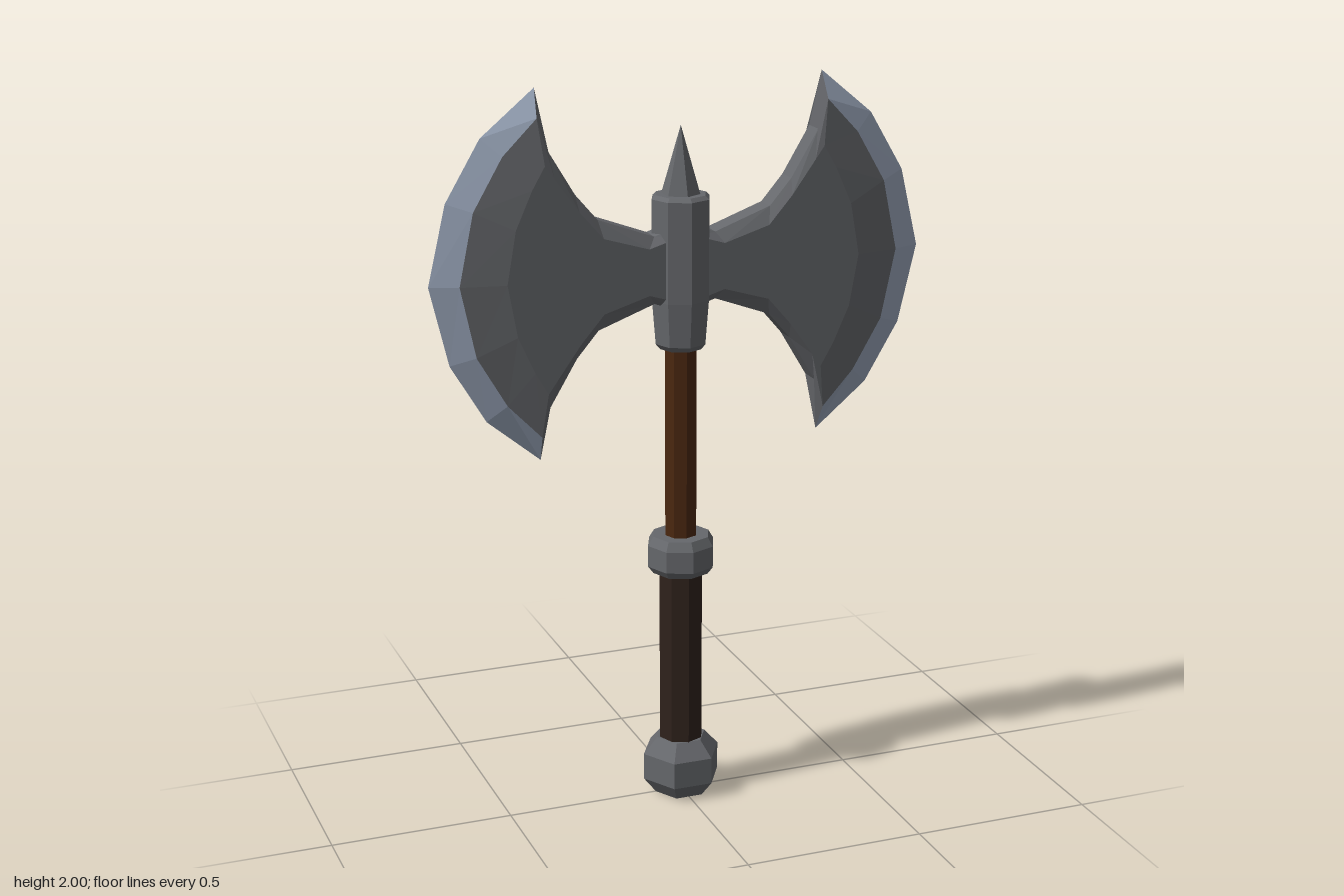
import * as THREE from 'three';

const material = (color) =>
  new THREE.MeshStandardMaterial({ color, flatShading: true });
const iron = material(0x66686c);
const steel = material(0x9aa6ba);
const wood = material(0x4a2710);
const leather = material(0x2f221c);

// Faceted turned part from [radius, y] pairs, bottom to top
function turned(name, profile, sides, mat, turn = 0) {
  const points = profile.map(([r, y]) => new THREE.Vector2(r, y));
  const mesh = new THREE.Mesh(new THREE.LatheGeometry(points, sides, turn), mat);
  mesh.name = name;
  return mesh;
}

// Upper half of the blade, hub to middle: rim, bevel line and raised face, each [x, y, z]
const HALF = [
  [[0.03, 0.11, 0.03], [0.03, 0.085, 0.05]],
  [[0.085, 0.09, 0.03], [0.105, 0.062, 0.05]],
  [[0.24, 0.147, 0.03], [0.23, 0.1, 0.05]],
  [[0.3, 0.217, 0.03], [0.295, 0.175, 0.05]],
  [[0.375, 0.342, 0.03], [0.36, 0.265, 0.05]],
  [[0.395, 0.492, 0], [0.4, 0.42, 0.035], [0.385, 0.3, 0.05]],
  [[0.54, 0.372, 0], [0.49, 0.327, 0.028], [0.42, 0.24, 0.05]],
  [[0.635, 0.212, 0], [0.57, 0.19, 0.028], [0.465, 0.14, 0.05]],
  [[0.685, 0, 0], [0.61, 0, 0.028], [0.49, 0, 0.05]],
];

function toMesh(name, positions, mat) {
  const geometry = new THREE.BufferGeometry();
  geometry.setAttribute('position', new THREE.Float32BufferAttribute(positions, 3));
  geometry.computeVertexNormals();
  const mesh = new THREE.Mesh(geometry, mat);
  mesh.name = name;
  return mesh;
}

function blade(name) {
  const flip = (row) => row.map(([x, y, z]) => [x, -y, z]);
  const rows = [...HALF.slice(0, -1).map(flip), ...HALF.slice().reverse()];
  const rim = rows.map((r) => r[0]);
  const bevel = rows.map((r) => r[1]);
  const face = rows.map((r) => r[2] ?? r[1]);
  const body = [];
  const edge = [];

  const back = ([x, y, z]) => [x, y, -z];
  const tri = (out, a, b, c) => out.push(...a, ...b, ...c);
  const bothSides = (out, a, b, c) => {
    tri(out, a, b, c);
    tri(out, back(a), back(c), back(b));
  };

  for (let i = 0; i < rows.length - 1; i++) {
    const j = i + 1;
    const cutting = rows[i].length === 3 && rows[j].length === 3;
    // sharpened edge, or chamfer on the inner curves
    const out = cutting ? edge : body;
    bothSides(out, rim[i], rim[j], bevel[j]);
    bothSides(out, rim[i], bevel[j], bevel[i]);
    // slope up to the flat of the blade
    if (rows[j].length === 3) bothSides(body, bevel[i], bevel[j], face[j]);
    if (rows[i].length === 3) bothSides(body, bevel[i], face[j], face[i]);
    // flat strip between the two chamfers
    if (!cutting) {
      tri(body, rim[i], back(rim[i]), back(rim[j]));
      tri(body, rim[i], back(rim[j]), rim[j]);
    }
  }

  // flat of the blade
  const contour = face.map(([x, y]) => new THREE.Vector2(x, y));
  for (const [a, b, c] of THREE.ShapeUtils.triangulateShape(contour, [])) {
    const ccw = THREE.ShapeUtils.area([contour[a], contour[b], contour[c]]) > 0;
    bothSides(body, face[a], face[ccw ? b : c], face[ccw ? c : b]);
  }

  const group = new THREE.Group();
  group.name = name;
  group.add(toMesh('bladeBody', body, iron), toMesh('cuttingEdge', edge, steel));
  group.position.y = 1.508;
  return group;
}

export function createModel() {
  const axe = new THREE.Group();
  axe.name = 'doubleAxe';

  // Handle
  axe.add(
    turned('pommel', [[0, 0], [0.075, 0], [0.11, 0.045], [0.11, 0.12], [0.07, 0.165], [0, 0.165]], 6, iron, Math.PI / 2),
    turned('grip', [[0.062, 0.15], [0.062, 0.67]], 8, leather),
    turned('collar', [[0, 0.655], [0.08, 0.655], [0.095, 0.675], [0.095, 0.735], [0.08, 0.76], [0, 0.76]], 8, iron),
    turned('shaft', [[0.045, 0.74], [0.045, 1.31]], 8, wood),
  );

  // Head
  axe.add(
    turned('hub', [[0, 1.285], [0.058, 1.285], [0.071, 1.3], [0.081, 1.42], [0.081, 1.69], [0.07, 1.7], [0, 1.7]], 8, iron),
    turned('spike', [[0.053, 1.695], [0, 1.88]], 6, iron),
  );
  const left = blade('leftBlade');
  const right = blade('rightBlade');
  right.rotation.y = Math.PI;
  axe.add(left, right);

  return axe;
}
